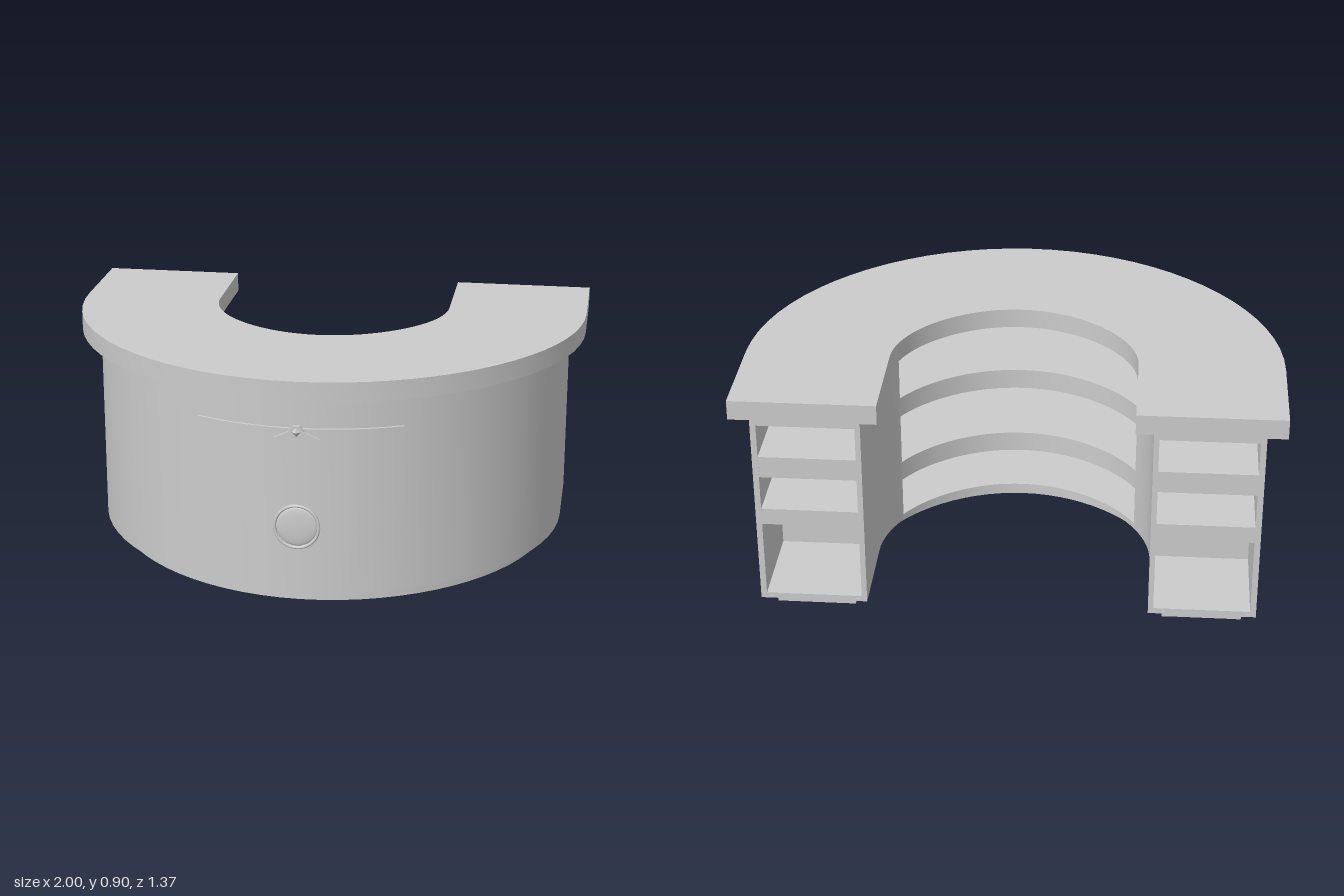
import * as THREE from 'three';
import { toCreasedNormals } from 'three/addons/utils/BufferGeometryUtils.js';

const CZ = -0.31; // centre of the half-round part
const DEG = Math.PI / 180;
const mat = new THREE.MeshStandardMaterial({ color: 0xcccccc, side: THREE.DoubleSide });

export function createModel() {
  const group = new THREE.Group();

  const add = (name, geo, x = 0, y = 0, z = 0) => {
    const m = new THREE.Mesh(geo, mat);
    m.name = name;
    m.position.set(x, y, z);
    group.add(m);
  };

  // Points of a slightly flattened arc in plan; 0 degrees is +x, 90 the front
  const arc = (rx, rz, a0, a1, n) => Array.from({ length: n + 1 }, (_, i) => {
    const a = (a0 + (a1 - a0) * i / n) * DEG;
    const flat = 0.009 * Math.sin(2 * a) ** 2;
    return new THREE.Vector2((rx - flat) * Math.cos(a), -(CZ + (rz - flat) * Math.sin(a)));
  });

  // Extrude a plan outline upward from y0 to y1
  const slab = (name, pts, y0, y1) => {
    const g = new THREE.ExtrudeGeometry(new THREE.Shape(pts), { depth: y1 - y0, bevelEnabled: false });
    g.rotateX(-Math.PI / 2);
    add(name, toCreasedNormals(g, 0.5), 0, y0, 0);
  };

  // Horseshoe with straight arms running back to zBack; [x radius, z radius] outside and inside
  const horseshoe = (name, [ox, oz], [ix, iz], zBack, y0, y1) => slab(name, [
    new THREE.Vector2(ox, -zBack), ...arc(ox, oz, 0, 180, 36), new THREE.Vector2(-ox, -zBack),
    new THREE.Vector2(-ix, -zBack), ...arc(ix, iz, 180, 0, 36), new THREE.Vector2(ix, -zBack),
  ], y0, y1);

  // Curved sector between two radii
  const sector = (name, [ox, oz], [ix, iz], a0, a1, y0, y1, n = 20) =>
    slab(name, [...arc(ox, oz, a0, a1, n), ...arc(ix, iz, a1, a0, n)], y0, y1);

  // Box spanning the inside of one arm between two depths
  const armBox = (name, side, y0, y1, z0, z1) =>
    add(name, new THREE.BoxGeometry(0.37, y1 - y0, z1 - z0), side * 0.725, (y0 + y1) / 2, (z0 + z1) / 2);

  // Counter top, outer shell and its lower edge
  const back = -0.665;
  horseshoe('counterTop', [0.998, 0.995], [0.46, 0.43], -0.688, 0.825, 0.9);
  horseshoe('outerWall', [0.925, 0.92], [0.903, 0.898], back, 0.05, 0.825);
  horseshoe('outerBottomEdge', [0.924, 0.919], [0.855, 0.85], back, 0.05, 0.06);
  horseshoe('innerBottomEdge', [0.6, 0.575], [0.526, 0.501], back, 0.05, 0.06);
  horseshoe('ceiling', [0.91, 0.905], [0.527, 0.502], back + 0.001, 0.79, 0.825);

  // Hollow plinth
  horseshoe('plinthOuterWall', [0.873, 0.865], [0.855, 0.847], -0.61, 0, 0.05);
  horseshoe('plinthInnerWall', [0.595, 0.57], [0.577, 0.552], -0.61, 0, 0.05);

  // Open shelves at the front, facing inward
  const wallEnd = 28;
  for (const [name, y0, y1] of [
    ['frontFloor', 0.05, 0.075], ['frontLowerShelf', 0.235, 0.315], ['frontUpperShelf', 0.52, 0.6],
  ]) sector(name, [0.91, 0.905], [0.525, 0.5], wallEnd - 1, 181 - wallEnd, y0, y1, 32);

  // Arms: closed inside, with three cubbies open at the back end
  for (const side of [1, -1]) {
    const plan = [
      new THREE.Vector2(0.545, -back), ...arc(0.545, 0.52, 0, wallEnd, 8),
      ...arc(0.525, 0.5, wallEnd, 0, 8), new THREE.Vector2(0.525, -back),
    ].map((p) => new THREE.Vector2(p.x * side, p.y));
    slab('innerWall', plan, 0.05, 0.825);
    for (const [name, y0, y1] of [
      ['armFloor', 0.051, 0.072], ['armLowerShelf', 0.375, 0.44], ['armUpperShelf', 0.575, 0.66],
    ]) armBox(name, side, y0, y1, back + 0.001, -0.29);
    armBox('armBackPanel', side, 0.052, 0.82, -0.305, -0.291);
    add('plinthEnd', new THREE.BoxGeometry(0.294, 0.05, 0.018), side * 0.725, 0.025, -0.6);
    const a = side > 0 ? wallEnd - 2 : 180 - wallEnd;
    sector('divider', [0.91, 0.905], [0.53, 0.505], a, a + 2, 0.051, 0.82, 1);
  }

  // Curved front panel, slightly proud of the shell
  sector('frontPanel', [0.935, 0.93], [0.915, 0.91], 65.7, 114.3, 0.32, 0.7, 28);

  // Round medallion: disc, low dome and rim
  const disc = new THREE.CylinderGeometry(0.084, 0.084, 0.03, 40).rotateX(Math.PI / 2);
  add('medallionDisc', disc, 0, 0.322, 0.608);
  const dome = new THREE.SphereGeometry(0.076, 32, 8, 0, Math.PI * 2, 0, Math.PI / 2)
    .rotateX(Math.PI / 2).scale(1, 1, 0.12);
  add('medallionDome', dome, 0, 0.322, 0.623);
  add('medallionRim', new THREE.TorusGeometry(0.082, 0.006, 8, 40), 0, 0.322, 0.629);

  // Small pointed ornament at the top of the panel
  const wings = new THREE.Shape([
    [-0.085, 0.664], [0.085, 0.664], [0.03, 0.69], [0.012, 0.712], [-0.012, 0.712], [-0.03, 0.69],
  ].map(([x, y]) => new THREE.Vector2(x, y)));
  add('ornamentBase', new THREE.ExtrudeGeometry(wings, { depth: 0.018, bevelEnabled: false }), 0, 0, 0.612);
  const gem = new THREE.OctahedronGeometry(0.022);
  gem.scale(0.9, 1, 0.8);
  add('ornamentGem', gem, 0, 0.69, 0.627);

  return group;
}
